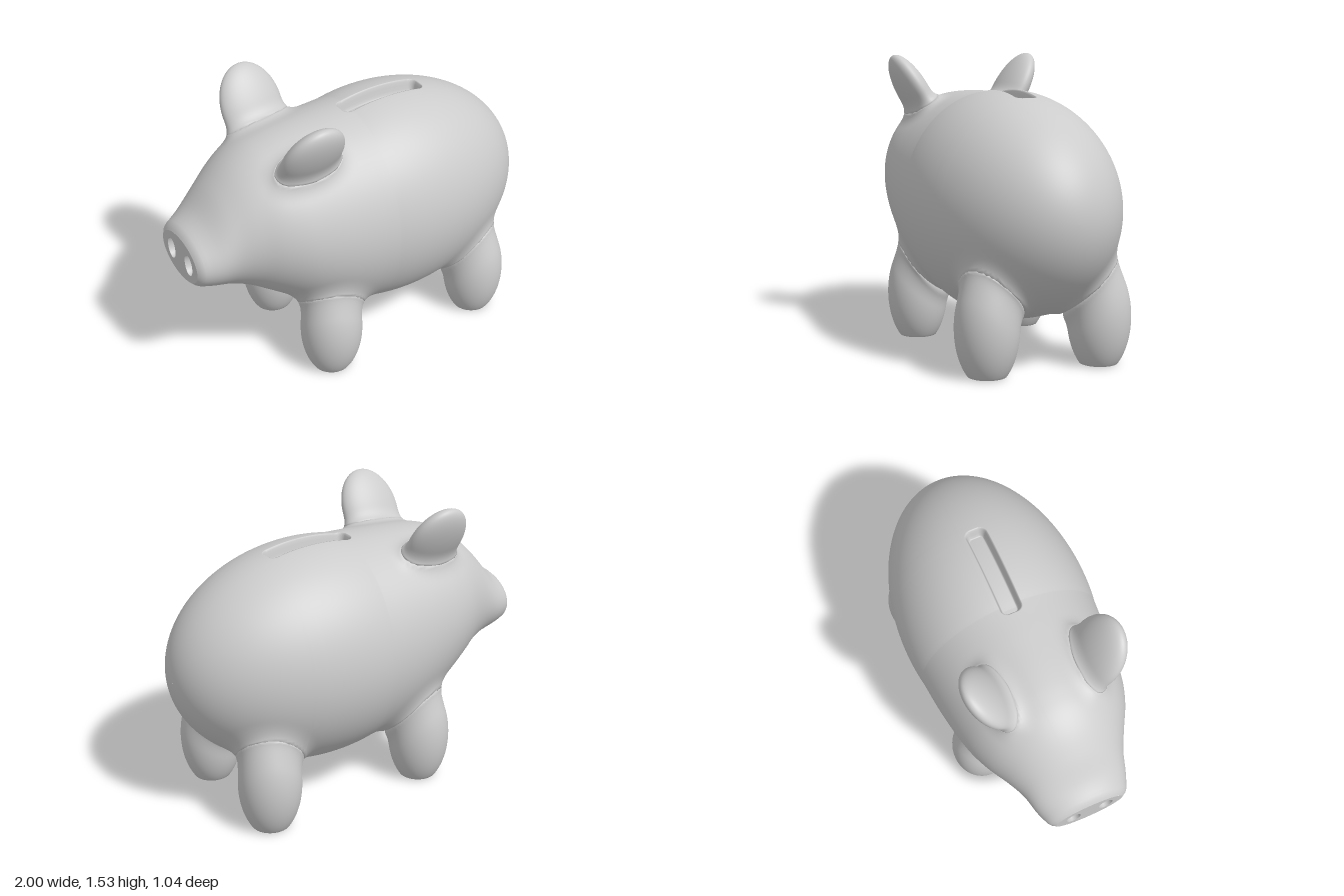
import * as THREE from 'three';
import { mergeVertices } from 'three/addons/utils/BufferGeometryUtils.js';

const V = (x, y, z) => new THREE.Vector3(x, y, z);
const span = (a, b, n) => Array.from({ length: n }, (_, i) => a + (b - a) * i / n);

// Head and shoulder sections: x, top, bottom, half width
const SECTIONS = [
  [-1, 0.92, 0.68, 0.185], [-0.985, 0.945, 0.665, 0.21], [-0.95, 0.97, 0.65, 0.23],
  [-0.9, 1.01, 0.635, 0.25], [-0.8, 1.13, 0.6, 0.28], [-0.7, 1.225, 0.555, 0.33],
  [-0.6, 1.285, 0.49, 0.385], [-0.5, 1.315, 0.42, 0.425], [-0.4, 1.33, 0.35, 0.45],
  [-0.2, 1.343, 0.25, 0.482], [0, 1.351, 0.209, 0.503], [0.2, 1.37, 0.19, 0.52],
];
const spline = new THREE.CubicInterpolant(
  SECTIONS.map(s => s[0]), SECTIONS.flatMap(s => s.slice(1)), 3, new Float32Array(3));

// Centre height, half height and half width at x; the rump is an ellipsoid
function section(x) {
  if (x > 0) {
    const s = Math.sqrt(Math.max(1e-6, 1 - ((x - 0.2) / 0.8) ** 2));
    return [0.78, 0.59 * s, 0.52 * s];
  }
  const [top, bottom, rz] = spline.evaluate(Math.max(x, -1));
  return [(top + bottom) / 2, (top - bottom) / 2, rz];
}
function bodyField(p) {
  const [cy, ry, rz] = section(p.x);
  return Math.hypot((p.y - cy) / ry, p.z / rz) - 1;
}

// Legs and ears are tilted ellipsoids, mirrored in z
function limb(name, centre, radii, tilt, blend) {
  const c = Math.cos(tilt), s = Math.sin(tilt);
  const field = p => {
    const y = p.y - centre.y, z = p.z - centre.z;
    return Math.hypot((p.x - centre.x) / radii.x, (y * c + z * s) / radii.y, (z * c - y * s) / radii.z) - 1;
  };
  return { name, centre, radii, tilt, blend, field };
}
const LIMBS = [1, -1].flatMap(side => {
  const label = side > 0 ? 'Near' : 'Far';
  return [
    limb('frontLeg' + label, V(-0.305, 0.24, 0.31 * side), V(0.165, 0.3, 0.162), 0, 0.12),
    limb('hindLeg' + label, V(0.638, 0.24, 0.31 * side), V(0.165, 0.3, 0.162), 0, 0.12),
    limb('ear' + label, V(-0.395, 1.33, 0.29 * side), V(0.17, 0.23, 0.075), 0.52 * side, 0.09),
  ];
});

// Approximate signed distance and normal of a field at p
function probe(field, p) {
  const e = 0.001, f = field(p);
  const n = V(
    field(V(p.x + e, p.y, p.z)) - f,
    field(V(p.x, p.y + e, p.z)) - f,
    field(V(p.x, p.y, p.z + e)) - f).divideScalar(e);
  const len = n.length() || 1;
  return { d: f / len, n: n.divideScalar(len) };
}

// Swell a surface point near another part so the two join in a fillet
function fillet(p, own, other, k) {
  const b = probe(other, p);
  const h = 1 - Math.abs(b.d) / k;
  if (h <= 0) return p;
  const g = probe(own, p).n.lerp(b.n, 0.5 * h);
  return p.addScaledVector(g, k / 4 * h * h / Math.max(0.4, g.lengthSq()));
}

// Depth of the coin slot, a rounded rectangle in plan
function slotDepth(x, z) {
  const r = 0.03, dx = Math.abs(x - 0.2) - 0.24 + r, dz = Math.abs(z) - 0.05 + r;
  const d = Math.hypot(Math.max(dx, 0), Math.max(dz, 0)) + Math.min(Math.max(dx, dz), 0) - r;
  return 0.07 * THREE.MathUtils.smoothstep(-d, -0.008, 0.012);
}

// Body: rings along x, finer around the slot
function bodyGeometry() {
  const u0 = Math.asin(0.27 / 0.8);
  const xs = [
    -1, -0.995, -0.985, -0.97, ...span(-0.95, -0.06, 44),
    ...span(-0.06, 0, 14), ...span(0, 0.41, 20), ...span(0.41, 0.47, 14),
    ...span(u0, Math.PI / 2, 44).map(u => 0.2 + 0.8 * Math.sin(u)), 1,
  ];
  const angles = [...span(-0.16, 0.16, 40), ...span(0.16, 2 * Math.PI - 0.16, 150)];
  const n = angles.length, pos = [], index = [];
  xs.forEach((x, i) => {
    const [cy, ry, rz] = section(x);
    angles.forEach((a, j) => {
      const p = V(x, cy + ry * Math.cos(a), rz * Math.sin(a));
      if (Math.cos(a) > 0.9) p.y -= slotDepth(x, p.z);
      for (const l of LIMBS) fillet(p, bodyField, l.field, l.blend);
      pos.push(p.x, p.y, p.z);
      if (i + 1 < xs.length) {
        const q = i * n + j, r = i * n + (j + 1) % n;
        index.push(q, r, q + n, r, r + n, q + n);
      }
    });
  });
  const geo = new THREE.BufferGeometry();
  geo.setAttribute('position', new THREE.Float32BufferAttribute(pos, 3));
  geo.setIndex(index);
  geo.computeVertexNormals();
  return geo;
}

// Limb: ellipsoid filleted to the body, with the sole cut flat on the ground
function limbGeometry(l) {
  let geo = new THREE.SphereGeometry(1, 56, 48);
  geo.deleteAttribute('uv');
  geo.deleteAttribute('normal');
  geo = mergeVertices(geo.scale(...l.radii).rotateX(l.tilt).translate(...l.centre), 1e-5);
  const pos = geo.attributes.position, p = V(0, 0, 0);
  for (let i = 0; i < pos.count; i++) {
    fillet(p.fromBufferAttribute(pos, i), l.field, bodyField, l.blend);
    pos.setXYZ(i, p.x, Math.max(0, p.y), p.z);
  }
  geo.computeVertexNormals();
  return geo;
}

export function createModel() {
  const model = new THREE.Group();
  model.name = 'piggyBank';
  const grey = new THREE.MeshStandardMaterial({ color: 0xcccccc });
  const inner = new THREE.MeshStandardMaterial({ color: 0xcccccc, side: THREE.BackSide });
  const add = (name, geo, material = grey) => {
    const mesh = new THREE.Mesh(geo, material);
    mesh.name = name;
    model.add(mesh);
  };

  add('body', bodyGeometry());
  for (const l of LIMBS) add(l.name, limbGeometry(l));

  // Flat snout with two hollow nostrils
  const face = new THREE.Shape().absellipse(0, 0, 0.185, 0.12, 0, Math.PI * 2);
  for (const side of [1, -1]) {
    face.holes.push(new THREE.Path().absellipse(0.09 * side, 0, 0.04, 0.06, 0, Math.PI * 2));
    const cup = new THREE.SphereGeometry(1, 32, 12, 0, Math.PI * 2, 0, Math.PI / 2);
    cup.rotateZ(-Math.PI / 2).scale(0.07, 0.06, 0.04).translate(-1, 0.8, 0.09 * side);
    add(side > 0 ? 'nostrilNear' : 'nostrilFar', cup, inner);
  }
  add('snoutFace', new THREE.ShapeGeometry(face, 32).rotateY(-Math.PI / 2).translate(-1, 0.8, 0));
  return model;
}
